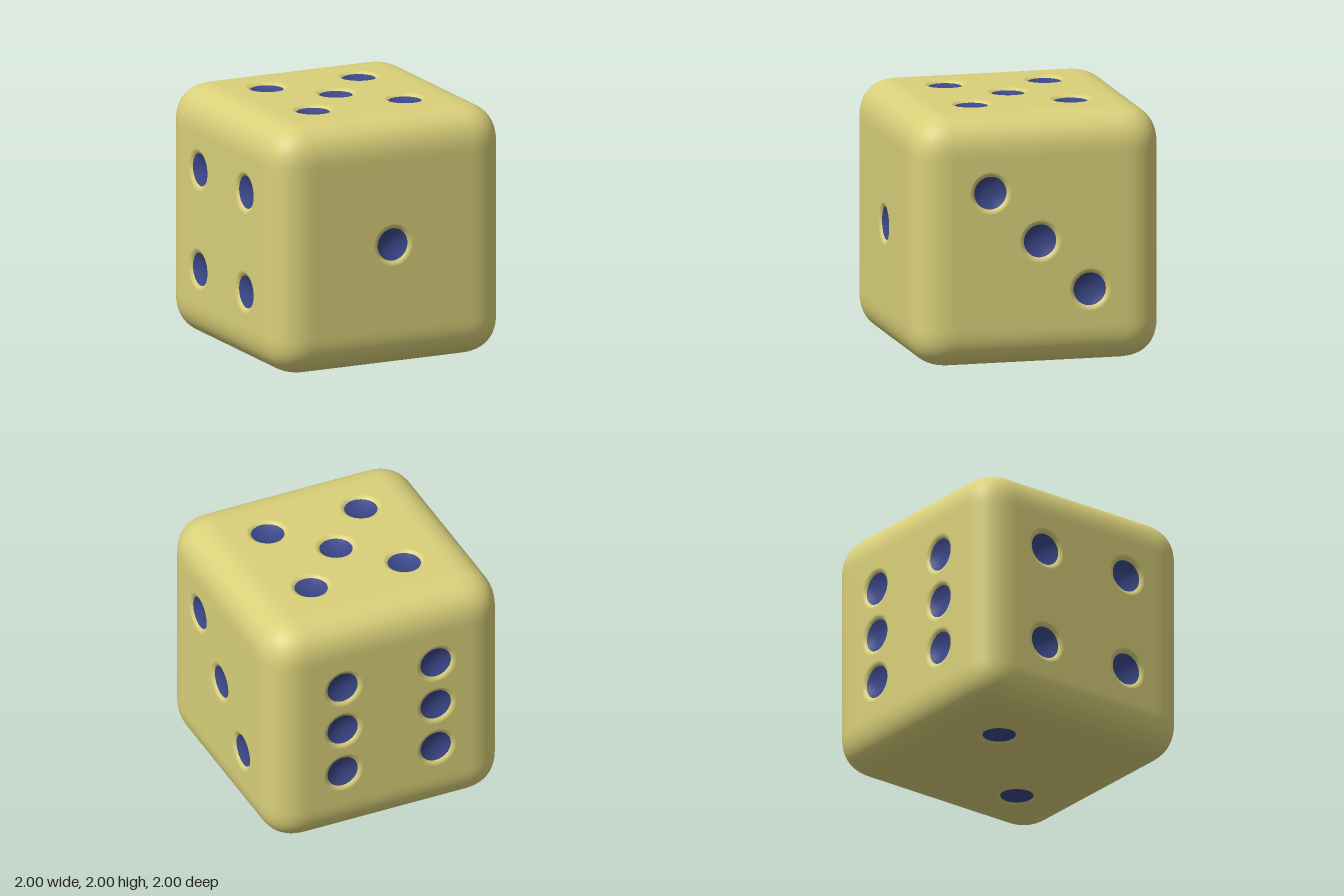
import * as THREE from 'three';

const FLAT = 0.67, ROUND = 0.33;     // half width of the flat area, depth of the rounding
const POWER = 2.5, STEPS = 12;       // squareness and fineness of the rounding
const LIP_R = 0.17, PIP_R = 0.13, LIP_D = 0.02, PIP_D = 0.055, SEG = 48;

// Rounded border of one face, framing the flat centre square
function borderGeometry() {
  const line = [];
  for (let k = STEPS; k >= 0; k--) line.push(-FLAT - ROUND * Math.tan(k / STEPS * Math.PI / 4));
  for (let k = 0; k <= STEPS; k++) line.push(FLAT + ROUND * Math.tan(k / STEPS * Math.PI / 4));
  const n = line.length, pos = [], nor = [], idx = [];
  for (const y of line) for (const x of line) {
    const base = [x, y, 1].map(v => THREE.MathUtils.clamp(v, -FLAT, FLAT));
    const d = [x, y, 1].map((v, i) => v - base[i]);
    const len = Math.pow(d.reduce((s, v) => s + Math.pow(Math.abs(v), POWER), 0), 1 / POWER);
    pos.push(...d.map((v, i) => base[i] + v / len * ROUND));
    const g = d.map(v => Math.sign(v) * Math.pow(Math.abs(v), POWER - 1));
    nor.push(...new THREE.Vector3(...g).normalize().toArray());
  }
  for (let j = 0; j < n - 1; j++) for (let i = 0; i < n - 1; i++) {
    if (i === STEPS && j === STEPS) continue;   // centre is the flat panel
    const a = j * n + i, b = a + 1, c = a + n, e = c + 1;
    idx.push(a, b, e, a, e, c);
  }
  const geo = new THREE.BufferGeometry();
  geo.setAttribute('position', new THREE.Float32BufferAttribute(pos, 3));
  geo.setAttribute('normal', new THREE.Float32BufferAttribute(nor, 3));
  geo.setIndex(idx);
  return geo;
}

// Flat centre square with a round hole for every pip
function panelGeometry(pips) {
  const s = new THREE.Shape();
  s.moveTo(-FLAT, -FLAT).lineTo(FLAT, -FLAT).lineTo(FLAT, FLAT).lineTo(-FLAT, FLAT).closePath();
  for (const [x, y] of pips) s.holes.push(new THREE.Path().absarc(x, y, LIP_R, 0, Math.PI * 2, true));
  return new THREE.ShapeGeometry(s, SEG / 2).translate(0, 0, 1);
}

// Turned surface facing +z, profile listed from the outside in
function turned(profile) {
  const pts = [];
  for (let i = 0; i <= 10; i++) pts.push(new THREE.Vector2(...profile(i / 10)));
  return new THREE.LatheGeometry(pts, SEG).rotateX(Math.PI / 2);
}

export function createModel() {
  const model = new THREE.Group();
  model.name = 'die';
  const bodyMat = new THREE.MeshStandardMaterial({ color: 0xd9d07a });
  const pipMat = new THREE.MeshStandardMaterial({ color: 0x3b4788 });

  const border = borderGeometry();
  const lip = turned(t => [LIP_R - (LIP_R - PIP_R) * t, -LIP_D * t * t]);
  const dish = turned(t => [PIP_R * (1 - t), -PIP_D + (PIP_D - LIP_D) * (1 - t) ** 2]);

  // Pip layouts, in face coordinates
  const p = 0.4;
  const diagonalDown = [[-p, p], [p, -p]], diagonalUp = [[p, p], [-p, -p]];
  const four = [...diagonalDown, ...diagonalUp], centre = [0, 0], q = Math.PI / 2;
  const faces = [
    ['frontFace', 0, 0, [centre]],
    ['backFace', 0, 2 * q, [...four, [-p, 0], [p, 0]]],
    ['leftFace', 0, q, [...diagonalDown, centre]],
    ['rightFace', 0, -q, four],
    ['topFace', -q, 0, [...four, centre]],
    ['bottomFace', q, 0, diagonalUp],
  ];

  for (const [name, rx, ry, pips] of faces) {
    const face = new THREE.Group();
    face.name = name;
    face.rotation.set(rx, ry, 0);
    face.position.y = 1;
    const add = (part, geo, mat, x = 0, y = 0, z = 0) => {
      const m = new THREE.Mesh(geo, mat);
      m.name = part;
      m.position.set(x, y, z);
      face.add(m);
    };
    add('roundedBorder', border, bodyMat);
    add('flatPanel', panelGeometry(pips), bodyMat);
    for (const [x, y] of pips) {
      add('pipLip', lip, bodyMat, x, y, 1);
      add('pipDish', dish, pipMat, x, y, 1);
    }
    model.add(face);
  }
  return model;
}
